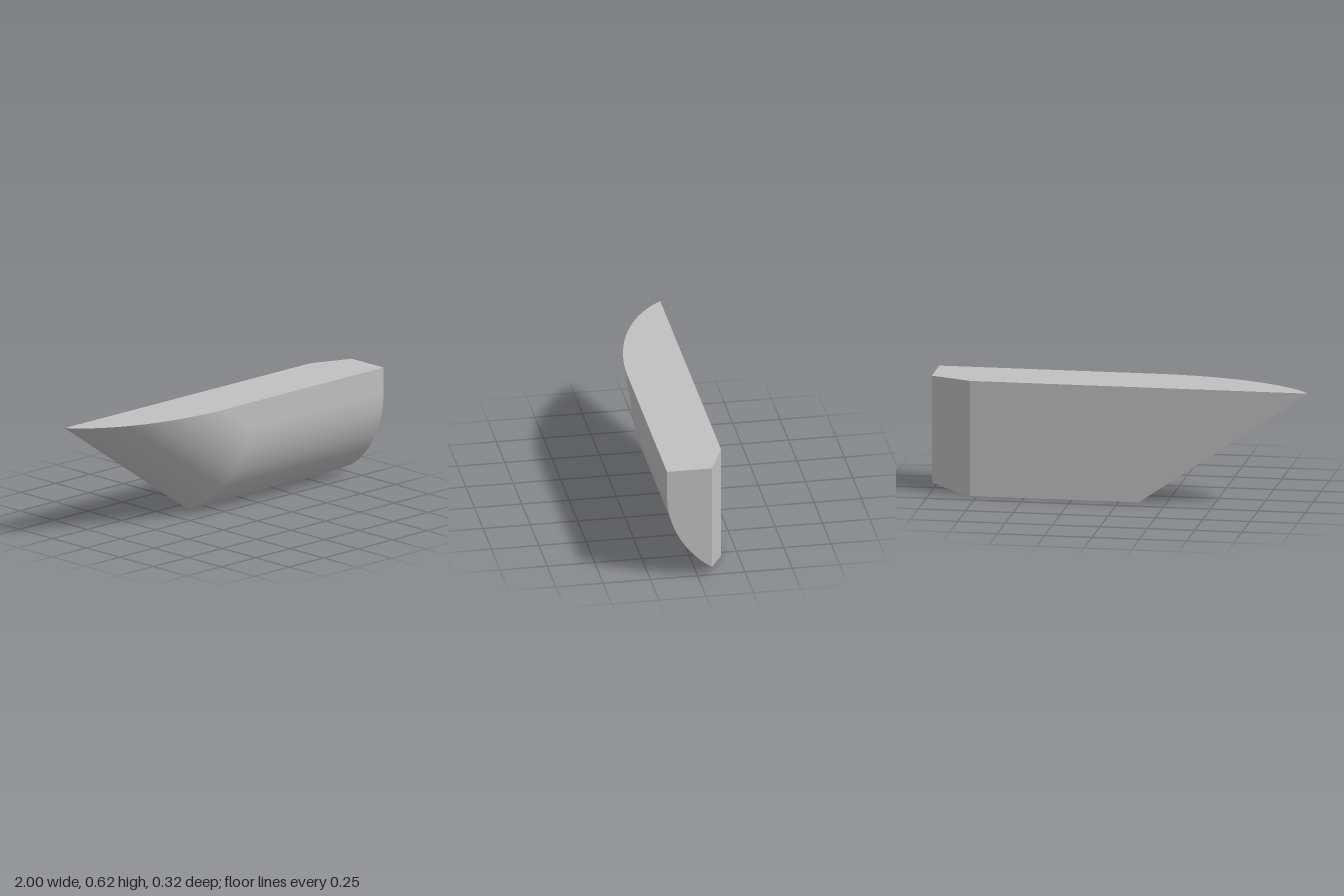
import * as THREE from 'three';

const H = 0.615;         // deck height
const Z = 0.162;         // half thickness
const CUT_Z = -0.075;    // where the stern chamfer ends
const CUT_X = 0.785;     // where the stern chamfer starts
const BEND_X = -0.105;   // keel bend
const ARC_Y = 0.48, ARC_R = 0.5176;

const hullGrey = new THREE.MeshStandardMaterial({ color: 0xc0c0c0 });
hullGrey.name = 'hullGrey';

// Hull section from the keel up to the deck: a circular bilge, then a straight side
function section() {
  const pts = [];
  const end = Math.acos((ARC_R - 2 * Z) / ARC_R);
  const cut = Math.acos((CUT_Z - Z + ARC_R) / ARC_R);
  const add = (t) => pts.push({ z: Z - ARC_R + ARC_R * Math.cos(t), y: Math.max(0, ARC_Y - ARC_R * Math.sin(t)) });
  for (let i = 0; i < 10; i++) add(end + (cut - end) * i / 10);
  for (let i = 0; i <= 40; i++) add(cut * (1 - i / 40));
  for (let i = 1; i <= 4; i++) pts.push({ z: Z, y: ARC_Y + (H - ARC_Y) * i / 4 });
  return pts;
}

function mesh(name, points, index) {
  const g = new THREE.BufferGeometry().setFromPoints(points);
  g.setIndex(index);
  g.computeVertexNormals();
  const m = new THREE.Mesh(g, hullGrey);
  m.name = name;
  return m;
}

// Smooth skin between two matching lines
function skin(name, a, b) {
  const n = a.length, index = [];
  for (let i = 0; i < n - 1; i++) {
    index.push(i, n + i, n + i + 1, i, n + i + 1, i + 1);
  }
  return mesh(name, [...a, ...b], index);
}

// Flat convex face, turned to look along the given direction
function face(name, pts, out) {
  const area = new THREE.Vector3();
  for (let i = 0; i < pts.length; i++) {
    area.add(new THREE.Vector3().crossVectors(pts[i], pts[(i + 1) % pts.length]));
  }
  const ring = area.dot(out) < 0 ? [...pts].reverse() : pts;
  const index = [];
  for (let i = 1; i < ring.length - 1; i++) index.push(0, i, i + 1);
  return mesh(name, ring, index);
}

export function createModel() {
  const v = (x, y, z) => new THREE.Vector3(x, y, z);
  const sec = section();
  const slope = (1 + BEND_X) / H;

  // Mitre where the bow meets the body, bow swept up to the deck, and stern line
  const mitre = sec.map((p) => v(BEND_X + 0.31 * p.y, p.y, p.z));
  const rim = sec.map((p, i) => v(mitre[i].x - (H - p.y) * slope, H, p.z));
  const stern = sec.map((p) => v(
    Math.min(1, CUT_X + (1 - CUT_X) * (p.z + Z) / (CUT_Z + Z)), p.y, p.z));

  const model = new THREE.Group();
  model.name = 'halfHull';
  model.add(
    skin('bow', rim, mitre),
    skin('body', mitre, stern),
    face('deck', [...rim, v(1, H, Z), v(1, H, CUT_Z), v(CUT_X, H, -Z)], v(0, 1, 0)),
    face('backWall', [v(-1, H, -Z), v(BEND_X, 0, -Z), v(CUT_X, 0, -Z), v(CUT_X, H, -Z)], v(0, 0, -1)),
    face('sternChamfer', [...stern.slice(0, 11), v(1, H, CUT_Z), v(CUT_X, H, -Z)], v(0.4, 0, -1)),
    face('sternEnd', [...stern.slice(10), v(1, H, CUT_Z)], v(1, 0, 0)),
  );
  return model;
}
